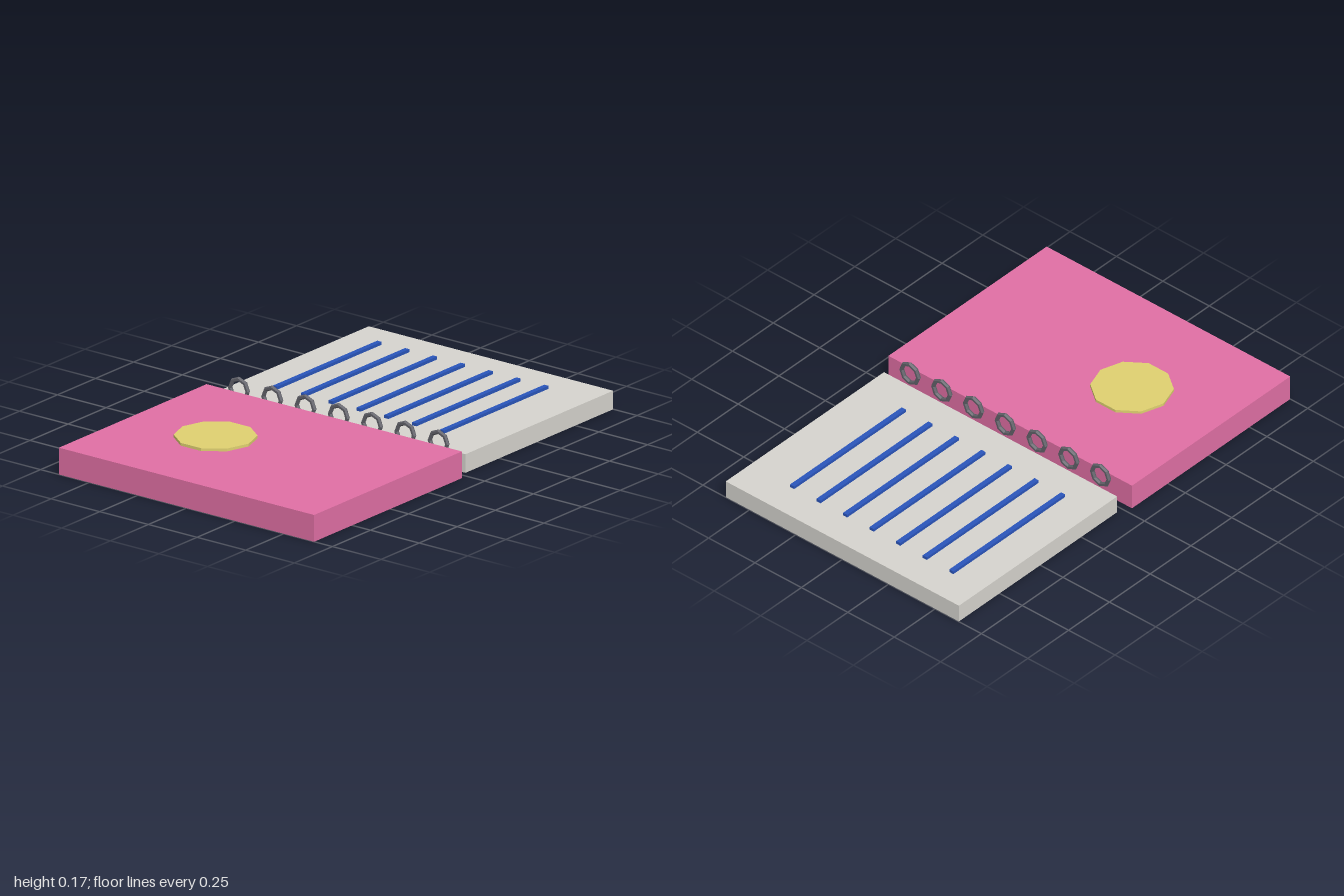
import * as THREE from 'three';

const paint = (color) => new THREE.MeshStandardMaterial({ color, flatShading: true });

export function createModel() {
  const model = new THREE.Group();
  const pink = paint(0xe06fa4);
  const paper = paint(0xd6d4ce);
  const blue = paint(0x2a55bb);
  const yellow = paint(0xdfd070);
  const metal = paint(0x62626a);

  const add = (name, geometry, material, x, y, z) => {
    const mesh = new THREE.Mesh(geometry, material);
    mesh.name = name;
    mesh.position.set(x, y, z);
    model.add(mesh);
    return mesh;
  };

  // Cover and page block lying side by side
  add('cover', new THREE.BoxGeometry(0.97, 0.115, 1.312), pink, -0.515, 0.0575, 0);
  add('pages', new THREE.BoxGeometry(0.97, 0.08, 1.256), paper, 0.514, 0.04, 0);

  // Ten-sided badge on the cover
  add('badge', new THREE.CylinderGeometry(0.17, 0.17, 0.022, 10), yellow, -0.515, 0.116, -0.23);

  // Ruled lines on the page
  const lineGeometry = new THREE.BoxGeometry(0.685, 0.02, 0.022);
  for (let i = 0; i < 7; i++) {
    add('ruledLine', lineGeometry, blue, 0.513, 0.083, -0.461 + i * 0.143);
  }

  // Binding rings along the spine gap
  const ringGeometry = new THREE.TorusGeometry(0.045, 0.01, 6, 8);
  for (let i = 0; i < 7; i++) {
    const ring = add('bindingRing', ringGeometry, metal, 0, 0.115, (i - 3) * 0.171);
    ring.rotation.y = Math.PI / 2;
  }

  return model;
}
